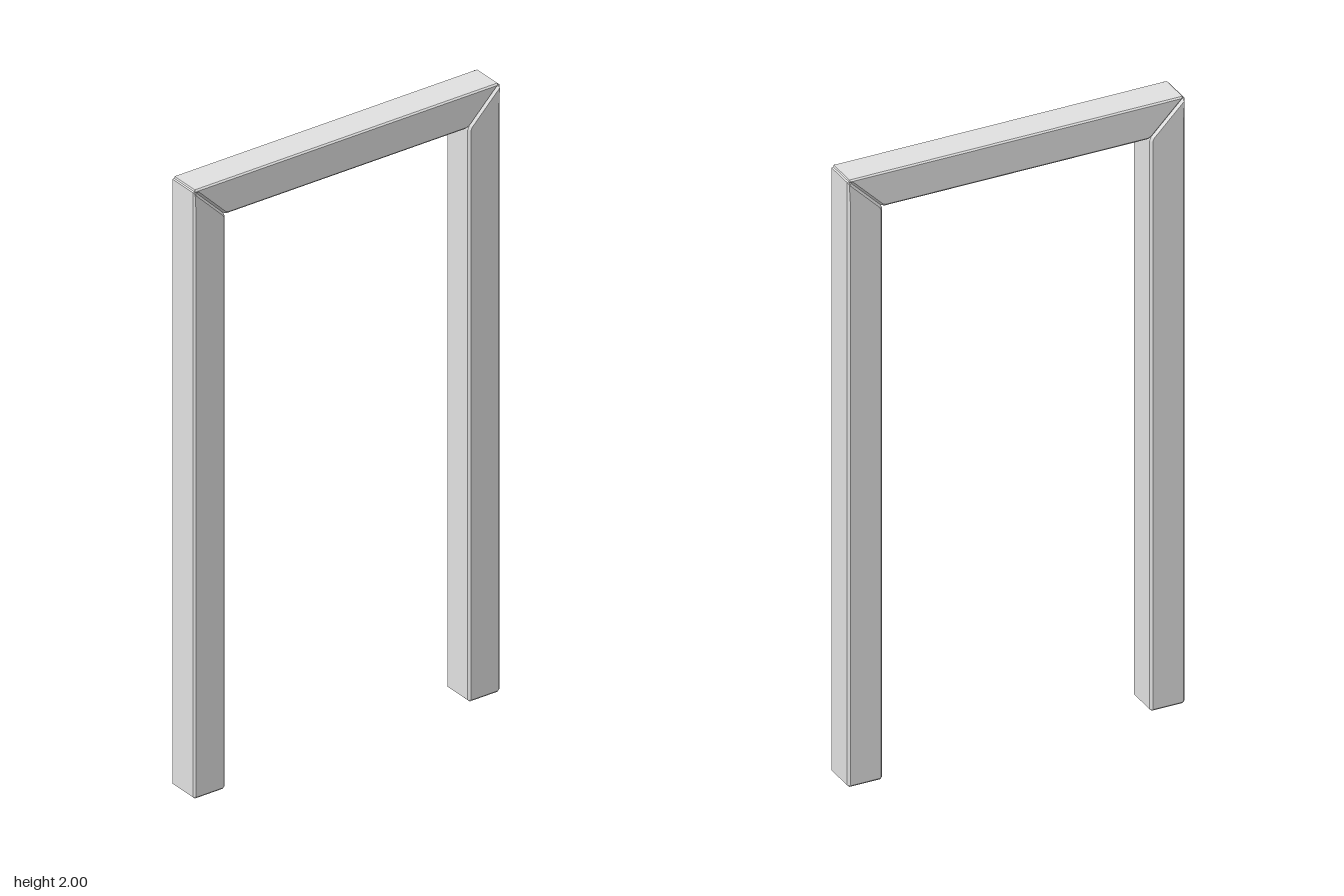
import * as THREE from 'three';

const HALF = 0.545;   // half of the frame's outer width
const W = 0.113;      // square section of every beam
const TOP = 2;
const BEVEL = 0.007;

// Cuts each corner of a polygon by a small distance along both edges
function chamferedShape(points) {
  const p = points.map(([x, y]) => new THREE.Vector2(x, y));
  const toward = (a, b) => a.clone().add(b.clone().sub(a).setLength(BEVEL));
  const out = p.flatMap((c, i) => [
    toward(c, p[(i + p.length - 1) % p.length]),
    toward(c, p[(i + 1) % p.length]),
  ]);
  return new THREE.Shape(out);
}

// Mitred beam with bevelled edges, centred in depth
function beam(name, points, material) {
  const geometry = new THREE.ExtrudeGeometry(chamferedShape(points), {
    depth: W - 2 * BEVEL,
    bevelEnabled: true,
    bevelThickness: BEVEL,
    bevelSize: BEVEL,
    bevelOffset: -BEVEL,
    bevelSegments: 1,
  });
  geometry.translate(0, 0, -W / 2 + BEVEL);
  const mesh = new THREE.Mesh(geometry, material);
  mesh.name = name;
  return mesh;
}

export function createModel() {
  const model = new THREE.Group();
  model.name = 'doorFrame';
  const paint = new THREE.MeshStandardMaterial({ color: 0xe2e2e2 });
  paint.name = 'pale grey';

  const inner = HALF - W;

  // Top beam, mitred at both ends
  model.add(beam('lintel', [
    [-HALF, TOP], [-inner, TOP - W], [inner, TOP - W], [HALF, TOP],
  ], paint));

  // Two posts, the second turned half way round
  ['rightPost', 'leftPost'].forEach((name, i) => {
    const post = beam(name, [
      [-HALF, 0], [-inner, 0], [-inner, TOP - W], [-HALF, TOP],
    ], paint);
    post.rotation.y = i * Math.PI;
    model.add(post);
  });

  // The frame stands diagonally
  model.rotation.y = Math.PI / 4;
  const root = new THREE.Group();
  root.add(model);
  return root;
}
